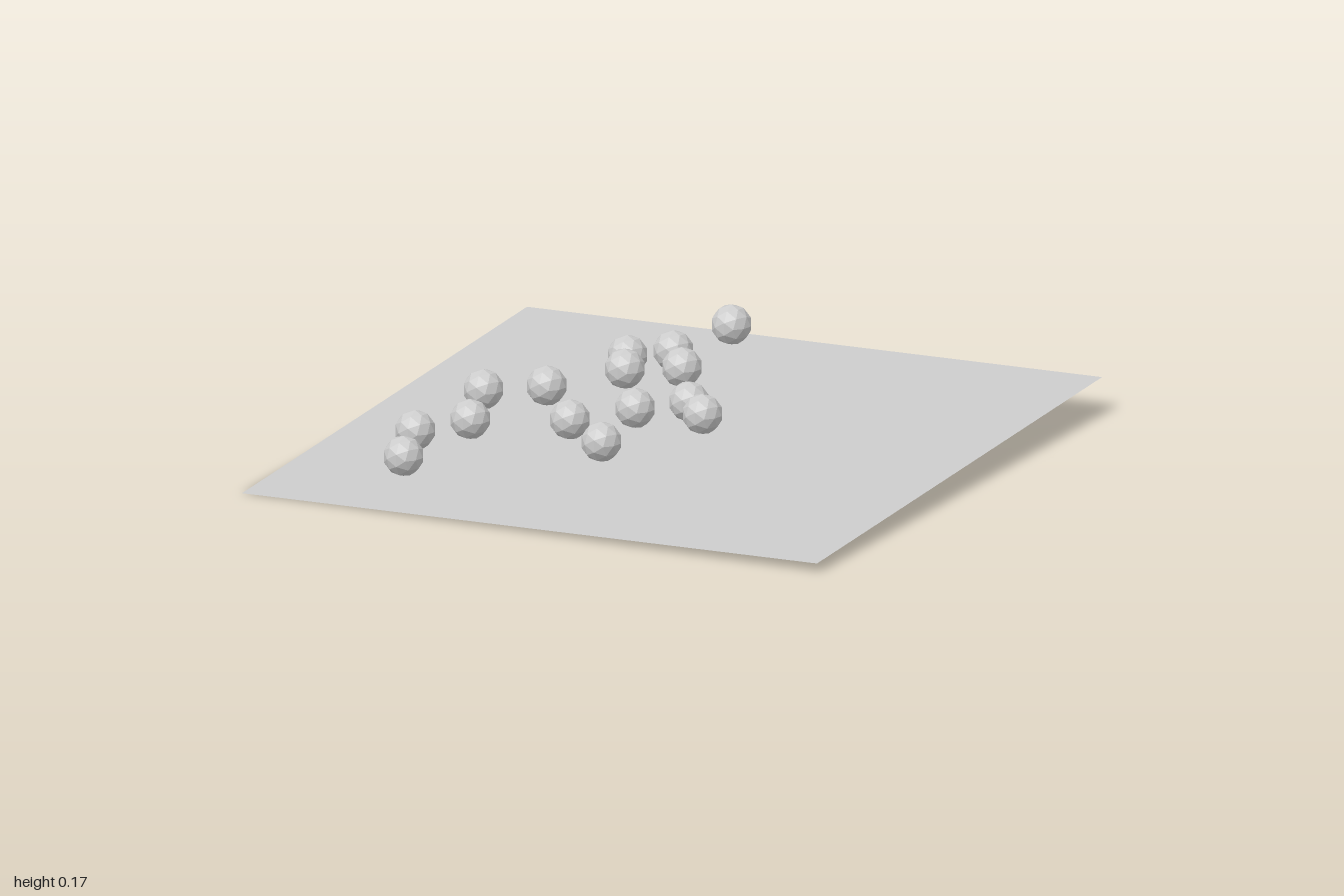
import * as THREE from 'three';

// Height of the gently tilted board at a given ground position
const boardHeight = (x, z) => 0.0425 - 0.0063 * x - 0.0445 * z;

const BALL_RADIUS = 0.048;
const BALL_LIFT = 0.054;

// Ball positions as [x, z]
const BALLS = [
  [-0.44, -0.495], [-0.375, -0.28], [-0.26, -0.22], [-0.418, -0.18], [-0.34, -0.115],
  [-0.042, -0.08], [0.055, -0.047], [-0.087, 0.042], [-0.36, 0.095], [-0.437, 0.22],
  [-0.12, 0.205], [0.064, 0.25], [-0.277, 0.376], [-0.296, 0.52], [-0.158, 0.655],
];

export function createModel() {
  const model = new THREE.Group();
  model.name = 'ballsOnBoard';

  // Square board, turned about y and tilted by the height rule
  const boardGeometry = new THREE.PlaneGeometry(1.485, 1.485);
  boardGeometry.rotateX(-Math.PI / 2);
  boardGeometry.rotateY(Math.atan2(0.68, 1.32));
  const corners = boardGeometry.attributes.position;
  for (let i = 0; i < corners.count; i++) {
    corners.setY(i, boardHeight(corners.getX(i), corners.getZ(i)));
  }
  boardGeometry.computeVertexNormals();
  const board = new THREE.Mesh(
    boardGeometry,
    new THREE.MeshStandardMaterial({ color: 0xcccccc, side: THREE.DoubleSide }),
  );
  board.name = 'board';
  model.add(board);

  // Faceted balls hovering just above the board
  const ballGeometry = new THREE.IcosahedronGeometry(BALL_RADIUS, 1);
  const ballMaterial = new THREE.MeshStandardMaterial({ color: 0xcccccc, flatShading: true });
  const balls = new THREE.Group();
  balls.name = 'balls';
  BALLS.forEach(([x, z], i) => {
    const ball = new THREE.Mesh(ballGeometry, ballMaterial);
    ball.name = `ball${i + 1}`;
    ball.position.set(x, boardHeight(x, z) + BALL_LIFT, z);
    balls.add(ball);
  });
  model.add(balls);

  return model;
}
